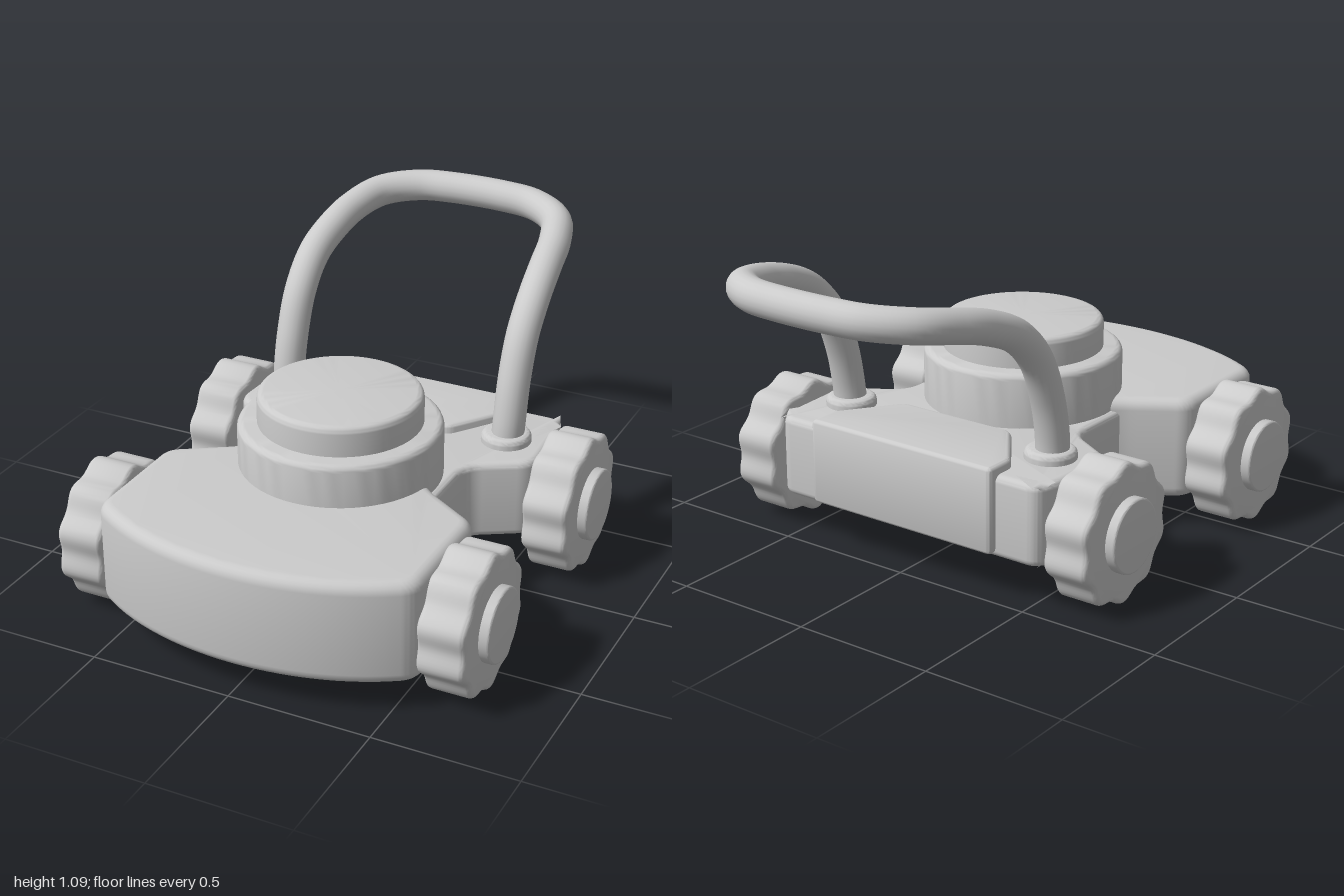
import * as THREE from 'three';
import { toCreasedNormals } from 'three/addons/utils/BufferGeometryUtils.js';

const material = new THREE.MeshStandardMaterial({ color: 0xcccccc });

function add(parent, name, geometry, x = 0, y = 0, z = 0) {
  const mesh = new THREE.Mesh(geometry, material);
  mesh.name = name;
  mesh.position.set(x, y, z);
  parent.add(mesh);
  return mesh;
}

// Extrusion with rounded edges that stays inside the given outline; runs z = 0..height
function softExtrude(shape, height, bevel, curveSegments = 12) {
  const geometry = new THREE.ExtrudeGeometry(shape, {
    depth: height - 2 * bevel, bevelThickness: bevel, bevelSize: bevel,
    bevelOffset: -bevel, bevelSegments: 5, curveSegments,
  });
  geometry.translate(0, 0, bevel);
  return toCreasedNormals(geometry, 0.6);
}

// Plan outline (x, z) turned into a slab between two heights
function slab(shape, bottom, top, bevel) {
  return softExtrude(shape, top - bottom, bevel).rotateX(Math.PI / 2).translate(0, top, 0);
}

// Symmetric outline with filleted corners; half = [x, z, fillet] down the +x side
function mirroredOutline(half) {
  const corners = [...half, ...half.map(([x, z, r]) => [-x, z, r]).reverse()];
  const shape = new THREE.Shape();
  corners.forEach(([x, z, r], i) => {
    const p = new THREE.Vector2(x, z);
    const toward = (q) => p.clone().add(new THREE.Vector2(q[0] - x, q[1] - z).setLength(r));
    const a = toward(corners[(i + corners.length - 1) % corners.length]);
    const b = toward(corners[(i + 1) % corners.length]);
    if (i === 0) shape.moveTo(a.x, a.y); else shape.lineTo(a.x, a.y);
    shape.quadraticCurveTo(x, z, b.x, b.y);
  });
  shape.closePath();
  return shape;
}

// Upright disc with a rounded top rim
function disc(radius, height, bevel) {
  const points = [new THREE.Vector2(0, 0), new THREE.Vector2(radius, 0)];
  for (let i = 0; i <= 6; i++) {
    const a = (i / 6) * Math.PI / 2;
    points.push(new THREE.Vector2(radius - bevel + bevel * Math.cos(a), height - bevel + bevel * Math.sin(a)));
  }
  points.push(new THREE.Vector2(0, height));
  return toCreasedNormals(new THREE.LatheGeometry(points, 64), 0.6);
}

// Broad front deck: bowed nose, straight flanks, tapering tail
function deckShape() {
  const s = new THREE.Shape();
  s.moveTo(-0.17, -0.05);
  s.lineTo(0.17, -0.05);
  s.quadraticCurveTo(0.21, -0.05, 0.225, 0);
  s.bezierCurveTo(0.28, 0.17, 0.33, 0.24, 0.42, 0.29);
  s.lineTo(0.53, 0.36);
  s.quadraticCurveTo(0.575, 0.385, 0.575, 0.44);
  s.lineTo(0.575, 0.77);
  s.quadraticCurveTo(0.575, 0.82, 0.53, 0.85);
  s.bezierCurveTo(0.36, 0.96, 0.16, 0.995, 0, 0.995);
  s.bezierCurveTo(-0.16, 0.995, -0.36, 0.96, -0.53, 0.85);
  s.quadraticCurveTo(-0.575, 0.82, -0.575, 0.77);
  s.lineTo(-0.575, 0.44);
  s.quadraticCurveTo(-0.575, 0.385, -0.53, 0.36);
  s.lineTo(-0.42, 0.29);
  s.bezierCurveTo(-0.33, 0.24, -0.28, 0.17, -0.225, 0);
  s.quadraticCurveTo(-0.21, -0.05, -0.17, -0.05);
  return s;
}

// Knobbly wheel: a ten-lobed disc with a round hub, facing +x
function wheel(name) {
  const group = new THREE.Group();
  group.name = name;
  const outline = [];
  for (let i = 0; i < 120; i++) {
    const a = (i / 120) * Math.PI * 2;
    const r = 0.236 + 0.01 * Math.cos(10 * (a - Math.PI / 2));
    outline.push(new THREE.Vector2(r * Math.cos(a), r * Math.sin(a)));
  }
  add(group, 'tyre', softExtrude(new THREE.Shape(outline), 0.165, 0.02).rotateY(Math.PI / 2), -0.0825);
  add(group, 'hub', disc(0.127, 0.2, 0.008).rotateZ(-Math.PI / 2), -0.083);
  return group;
}

export function createModel() {
  const model = new THREE.Group();
  model.name = 'toyMower';

  // Body
  add(model, 'frontDeck', slab(deckShape(), 0.11, 0.475, 0.04));
  const chassis = mirroredOutline([
    [0.37, 0.3, 0.03], [0.37, 0, 0.06], [0.575, -0.12, 0.06],
    [0.56, -0.4, 0.06], [0.53, -0.475, 0.04],
  ].reverse());
  add(model, 'rearChassis', slab(chassis, 0.15, 0.435, 0.025));
  const panel = mirroredOutline([
    [0.375, -0.505, 0.02], [0.375, -0.39, 0.02], [0.225, -0.18, 0.03],
  ]);
  add(model, 'rearPanel', slab(panel, 0.165, 0.467, 0.018));

  // Engine
  add(model, 'engineBase', disc(0.347, 0.225, 0.025), 0, 0.4, 0.2);
  add(model, 'engineCap', disc(0.28, 0.13, 0.025), 0, 0.6, 0.2);

  // Handle: one bent tube rising from both sides
  const side = [
    [0.425, 0.4, -0.23], [0.43, 0.52, -0.24], [0.43, 0.66, -0.272], [0.43, 0.8, -0.335],
    [0.428, 0.905, -0.44], [0.415, 0.965, -0.57], [0.395, 1.0, -0.7],
    [0.345, 1.024, -0.83], [0.23, 1.035, -0.915], [0.1, 1.038, -0.938],
  ].map((p) => new THREE.Vector3(...p));
  const path = [...side, ...side.map((p) => new THREE.Vector3(-p.x, p.y, p.z)).reverse()];
  const curve = new THREE.CatmullRomCurve3(path, false, 'centripetal');
  add(model, 'handle', new THREE.TubeGeometry(curve, 120, 0.057, 20));

  // Collars and wheels on both sides
  for (const [sign, label] of [[1, 'left'], [-1, 'right']]) {
    add(model, label + 'HandleCollar', disc(0.088, 0.065, 0.02), sign * 0.422, 0.405, -0.235);
    for (const [z, end] of [[0.595, 'Front'], [-0.255, 'Rear']]) {
      const w = wheel(label + end + 'Wheel');
      w.position.set(sign * 0.652, 0.25, z);
      if (sign < 0) w.rotation.y = Math.PI;
      model.add(w);
    }
  }
  return model;
}
